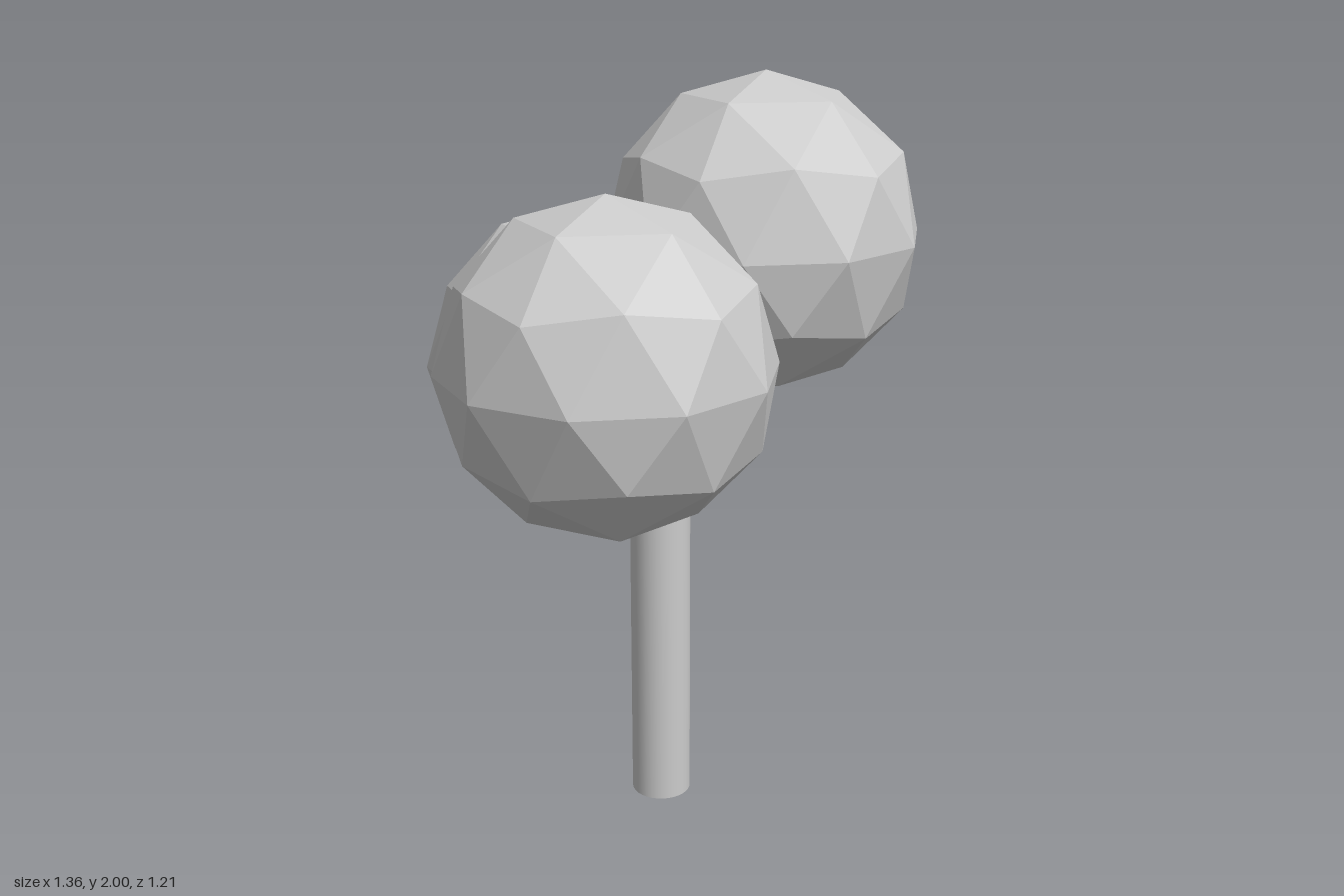
import * as THREE from 'three';

const material = new THREE.MeshStandardMaterial({ color: 0xcccccc });
const facetedMaterial = new THREE.MeshStandardMaterial({ color: 0xcccccc, flatShading: true });

export function createModel() {
  const tree = new THREE.Group();
  tree.name = 'tree';

  // Straight round trunk, its top hidden inside the foliage
  const height = 1.2;
  const trunk = new THREE.Mesh(new THREE.CylinderGeometry(0.082, 0.082, height, 32), material);
  trunk.name = 'trunk';
  trunk.position.set(-0.014, height / 2, -0.09);
  tree.add(trunk);

  // Faceted foliage balls, each standing on one icosahedron corner
  const ball = new THREE.IcosahedronGeometry(0.4175, 1);
  ball.rotateZ(-Math.atan(2 / (1 + Math.sqrt(5))));
  const clumps = {
    foliageTop: [0.283, 1.5825, -0.075],
    foliageFront: [-0.284, 1.351, 0.186],
    foliageBack: [-0.177, 1.264, -0.189],
  };
  for (const [name, position] of Object.entries(clumps)) {
    const clump = new THREE.Mesh(ball, facetedMaterial);
    clump.name = name;
    clump.position.set(...position);
    tree.add(clump);
  }
  return tree;
}
